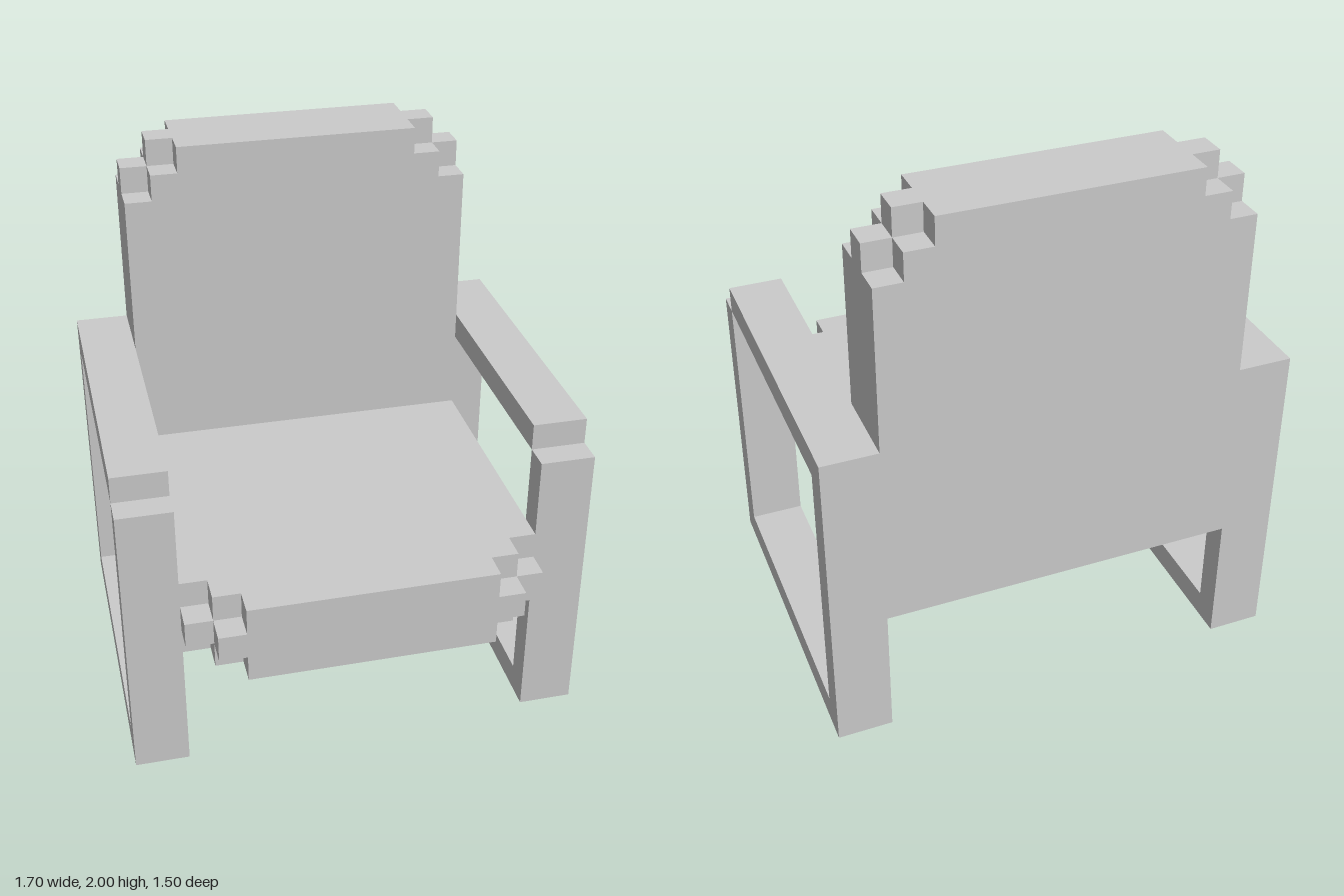
import * as THREE from 'three';

const material = new THREE.MeshStandardMaterial({ color: 0xcccccc, flatShading: true });
const STEP = 0.1;
const HALF = 0.65; // half width of the cushions

// Box given by its minimum and maximum corners
function box(name, min, max) {
  const size = max.map((v, i) => v - min[i]);
  const mesh = new THREE.Mesh(new THREE.BoxGeometry(...size), material);
  mesh.position.set(...min.map((v, i) => (v + max[i]) / 2));
  mesh.name = name;
  return mesh;
}

// Rectangle whose two far corners are cut into a staircase of n steps
function steppedShape(y0, y1, n) {
  const right = [[HALF, y0]];
  for (let i = 0; i <= n; i++) {
    const x = HALF - i * STEP, y = y1 - (n - i) * STEP;
    right.push([x, y]);
    if (i < n) right.push([x - STEP, y]);
  }
  const left = right.map(([x, y]) => [-x, y]).reverse();
  return new THREE.Shape([...right, ...left].map(([x, y]) => new THREE.Vector2(x, y)));
}

// Cushion of three layers: the outer layers are stepped back further than the middle
function cushion(name, y0, y1) {
  const group = new THREE.Group();
  group.name = name;
  [2, 1, 2].forEach((steps, layer) => {
    const geometry = new THREE.ExtrudeGeometry(steppedShape(y0, y1, steps), { depth: STEP, bevelEnabled: false });
    const mesh = new THREE.Mesh(geometry, material);
    mesh.position.z = layer * STEP;
    mesh.name = name + 'Layer';
    group.add(mesh);
  });
  return group;
}

// Open rectangular side frame, its armrest stopping behind the front post
function sideFrame(name, x0, x1) {
  const group = new THREE.Group();
  group.name = name;
  group.add(
    box('armrest', [x0, 1.1, -0.75], [x1, 1.2, 0.45]),
    box('frontPost', [x0, 0, 0.45], [x1, 1.1, 0.55]),
    box('rearPost', [x0, 0, -0.75], [x1, 1.1, -0.65]),
    box('floorRail', [x0, 0, -0.65], [x1, 0.1, 0.45])
  );
  return group;
}

export function createModel() {
  const chair = new THREE.Group();
  chair.name = 'armchair';

  // Seat, laid flat with its stepped corners at the front
  const seat = cushion('seat', -0.75, 0.75);
  seat.rotation.x = Math.PI / 2;
  seat.position.y = 0.8;

  // Backrest, upright with its stepped corners at the top
  const backrest = cushion('backrest', 0.8, 2);
  backrest.position.z = -0.75;

  chair.add(seat, backrest, sideFrame('leftFrame', 0.65, 0.85), sideFrame('rightFrame', -0.85, -0.65));
  return chair;
}
